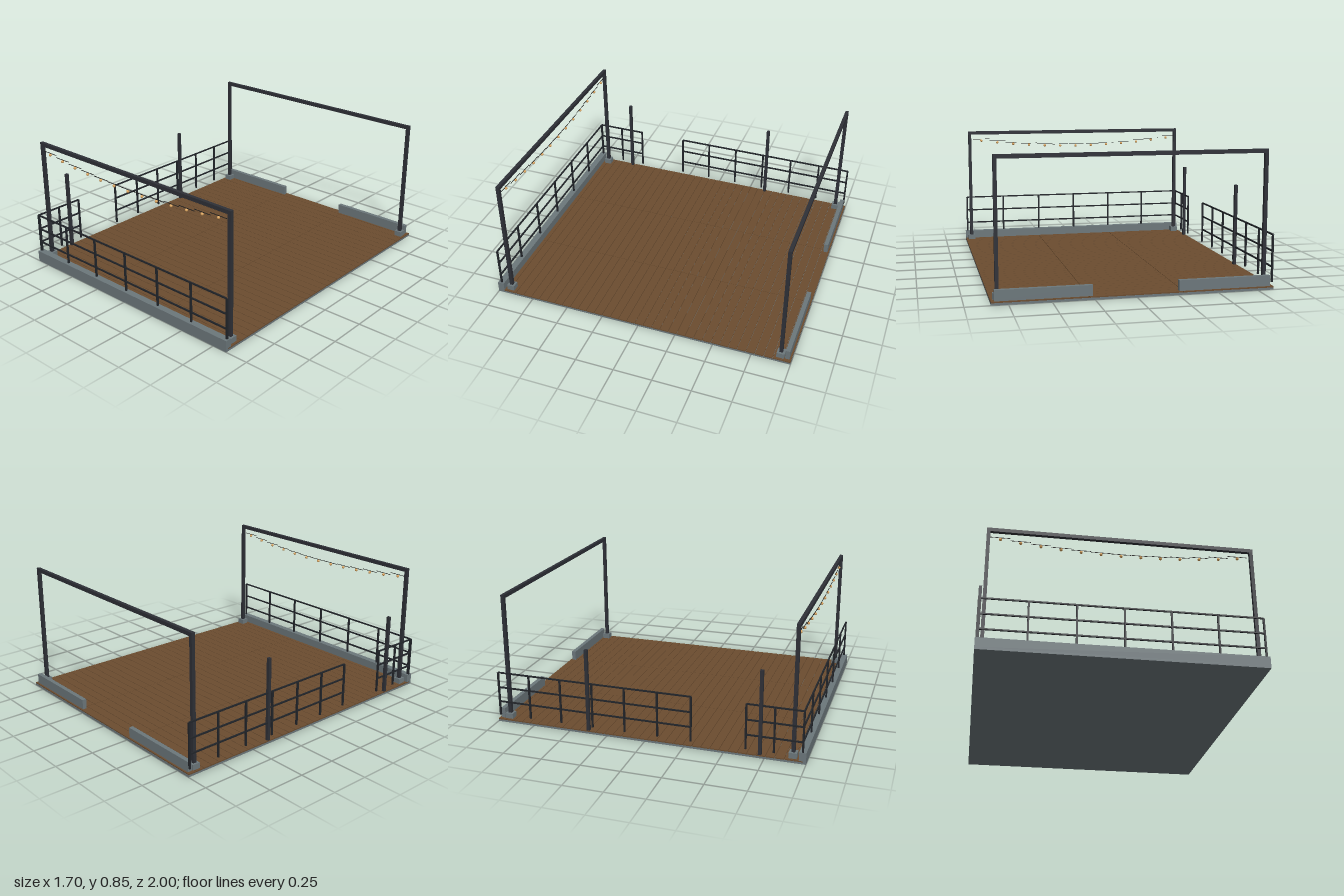
import * as THREE from 'three';

const material = (name, color) => {
  const m = new THREE.MeshStandardMaterial({ color });
  m.name = name;
  return m;
};

export function createModel() {
  const model = new THREE.Group();
  model.name = 'terrace';
  const concrete = material('grey concrete', 0x6c777b);
  const wood = material('brown wood', 0x6b4c2f);
  const steel = material('dark frame steel', 0x2e3037);
  const railing = material('black railing metal', 0x22252a);
  const cable = material('black cable', 0x1c1c1c);
  const glow = material('warm bulb', 0xdca55e);

  // Box given by its limits on each axis
  const box = (parent, name, mat, [x0, x1], [y0, y1], [z0, z1]) => {
    const mesh = new THREE.Mesh(new THREE.BoxGeometry(x1 - x0, y1 - y0, z1 - z0), mat);
    mesh.position.set((x0 + x1) / 2, (y0 + y1) / 2, (z0 + z1) / 2);
    mesh.name = name;
    parent.add(mesh);
    return mesh;
  };
  const group = (name) => {
    const g = new THREE.Group();
    g.name = name;
    model.add(g);
    return g;
  };
  const around = (c, half) => [c - half, c + half];

  // Base slab
  box(model, 'slab', concrete, [-0.85, 0.85], [0, 0.013], [-1, 1]);

  // Deck boards: three columns of narrow planks with fine gaps
  const deck = group('deck');
  const pitch = 0.0567, gap = 0.0015;
  const joints = [-0.85, -0.283, 0.283, 0.85];
  for (let row = 0; row < 35; row++) {
    const z = -1 + row * pitch;
    for (let c = 0; c < 3; c++) {
      box(deck, 'plank', wood,
        [joints[c] + (c > 0 ? gap : 0), joints[c + 1] - (c < 2 ? gap : 0)],
        [0.013, 0.02], [z + gap, z + pitch - gap]);
    }
  }

  // Curbs: full width at the front, two pieces beside the back opening
  box(model, 'frontCurb', concrete, [-0.85, 0.85], [0.013, 0.074], [0.957, 1]);
  box(model, 'backCurbRight', concrete, [-0.83, -0.26], [0.02, 0.085], [-0.988, -0.96]);
  box(model, 'backCurbLeft', concrete, [0.26, 0.83], [0.02, 0.085], [-0.988, -0.96]);

  // Portal frames on footing blocks
  for (const [name, z] of [['frontFrame', 0.917], ['backFrame', -0.93]]) {
    const frame = group(name);
    for (const side of [-1, 1]) {
      const x = side * 0.81;
      box(frame, 'footing', concrete, around(x, 0.025), [0.02, 0.055], around(z, 0.025));
      box(frame, 'post', steel, around(x, 0.011), [0.02, 0.822], around(z, 0.011));
    }
    box(frame, 'beam', steel, [-0.821, 0.821], [0.822, 0.846], around(z, 0.011));
  }

  // Railings: evenly spaced posts with three rails
  const railHeights = [0.138, 0.235, 0.335];
  const addRailing = (name, axis, fixed, from, to, bays, bottom) => {
    const g = group(name);
    const place = (part, along, y, half) => axis === 'x'
      ? box(g, part, railing, along, y, around(fixed, half))
      : box(g, part, railing, around(fixed, half), y, along);
    for (let i = 0; i <= bays; i++) {
      place('post', around(from + (to - from) * i / bays, 0.0055), [bottom, 0.335], 0.0055);
    }
    for (const y of railHeights) place('rail', [from, to], around(y, 0.0045), 0.0045);
  };
  addRailing('frontRailing', 'x', 0.977, -0.836, 0.836, 6, 0.074);
  addRailing('sideRailingLong', 'z', -0.842, -0.985, 0.295, 6, 0.045);
  addRailing('sideRailingShort', 'z', -0.842, 0.635, 0.978, 2, 0.045);

  // Tall posts beside the side entrance
  for (const z of [0.722, -0.374]) {
    box(model, 'entrancePost', steel, around(-0.838, 0.01), [0.02, 0.556], around(z, 0.01));
  }

  // Sagging string of lights under the front beam
  const lights = group('stringLights');
  const bulbGeometry = new THREE.SphereGeometry(0.0095, 12, 8);
  for (let i = 0; i < 13; i++) {
    const x = -0.738 + 0.1217 * i;
    const y = 0.737 + 0.05 * ((i - 6) / 6) ** 2;
    box(lights, 'cable', cable, around(x, 0.0609), around(y, 0.0015), around(0.917, 0.0015));
    const bulb = new THREE.Mesh(bulbGeometry, glow);
    bulb.name = 'bulb';
    bulb.position.set(x, y - 0.012, 0.917);
    lights.add(bulb);
  }
  return model;
}
